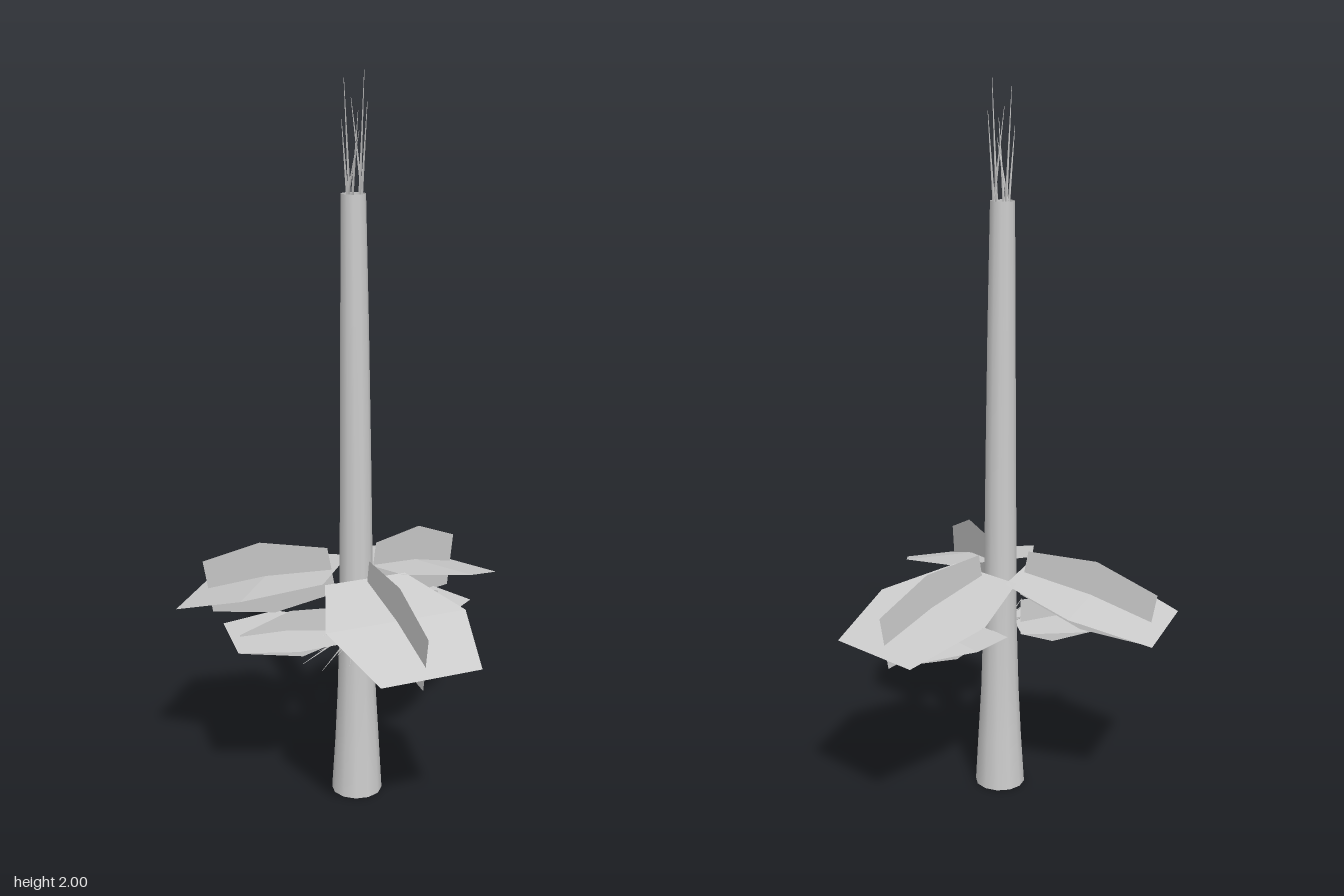
import * as THREE from 'three';

const grey = new THREE.MeshStandardMaterial({ color: 0xcccccc, side: THREE.DoubleSide });
grey.name = 'plain grey';

const AXIS = [0.01, 0.05]; // x, z of the stem where the leaves grow

function addMesh(parent, name, geometry) {
  const mesh = new THREE.Mesh(geometry, grey);
  mesh.name = name;
  parent.add(mesh);
  return mesh;
}

// Flat-shaded strip joining three left/right pairs of points
function strip(pairs) {
  const position = [];
  for (let i = 0; i < pairs.length - 1; i++) {
    const [a, b] = pairs[i], [c, d] = pairs[i + 1];
    for (const p of [a, b, c, b, d, c]) position.push(...p);
  }
  const geometry = new THREE.BufferGeometry();
  geometry.setAttribute('position', new THREE.Float32BufferAttribute(position, 3));
  geometry.computeVertexNormals();
  return geometry;
}

// Leaf made of a wide blade crossed by an upright blade, growing along +x
// blade rows: [reach, height, half width]; upright rows: [reach, top, reach, bottom]
function addLeaf(parent, name, degrees, blade, upright) {
  const leaf = new THREE.Group();
  leaf.name = name;
  addMesh(leaf, 'leafBlade', strip(blade.map(([r, y, w]) => [[r, y, w], [r, y, -w]])));
  addMesh(leaf, 'uprightBlade', strip(upright.map(([r, y, r2, y2]) => [[r, y, 0], [r2, y2, 0]])));
  leaf.position.set(AXIS[0], 0, AXIS[1]);
  leaf.rotation.y = -THREE.MathUtils.degToRad(degrees);
  parent.add(leaf);
}

// Thin three-sided spike from one point to another
function addSpike(parent, name, from, to, radius) {
  const a = new THREE.Vector3(...from), b = new THREE.Vector3(...to);
  const dir = b.clone().sub(a);
  const geometry = new THREE.CylinderGeometry(radius * 0.15, radius, dir.length(), 3, 1, true);
  const spike = addMesh(parent, name, geometry);
  spike.position.copy(a).lerp(b, 0.5);
  spike.quaternion.setFromUnitVectors(new THREE.Vector3(0, 1, 0), dir.normalize());
}

export function createModel() {
  const model = new THREE.Group();
  model.name = 'plant';

  // Hollow, slightly leaning stem; rows: height, radius, centre x, centre z
  const rows = [
    [0, 0.071, 0.011, 0.053], [0.15, 0.062, 0.01, 0.05], [0.3, 0.054, 0.008, 0.048],
    [0.5, 0.048, 0.006, 0.045], [0.65, 0.046, 0.004, 0.044], [1.0, 0.042, -0.001, 0.038],
    [1.35, 0.038, -0.008, 0.031], [1.69, 0.033, -0.015, 0.025],
  ];
  const stem = new THREE.LatheGeometry(rows.map(([y, r]) => new THREE.Vector2(r, y)), 12);
  const pos = stem.attributes.position;
  for (let i = 0; i < pos.count; i++) {
    const [, , cx, cz] = rows[i % rows.length];
    pos.setX(i, pos.getX(i) + cx);
    pos.setZ(i, pos.getZ(i) + cz);
  }
  addMesh(model, 'stem', stem);

  // Three large drooping leaves
  for (const angle of [35, 164.5, 277]) {
    addLeaf(model, 'largeLeaf', angle,
      [[0.06, 0.66, 0.118], [0.268, 0.617, 0.2], [0.483, 0.547, 0.14]],
      [[0.085, 0.72, 0.06, 0.59], [0.285, 0.715, 0.24, 0.51], [0.458, 0.64, 0.43, 0.49]]);
  }

  // Two smaller level leaves below
  for (const angle of [132, 284]) {
    addLeaf(model, 'smallLeaf', angle,
      [[0.045, 0.49, 0.087], [0.2, 0.508, 0.148], [0.357, 0.505, 0.104]],
      [[0.06, 0.56, 0.06, 0.455], [0.19, 0.565, 0.155, 0.425], [0.332, 0.51, 0.332, 0.455]]);
  }

  // Fan of fine twigs on the side without a small leaf
  for (let i = 0; i < 12; i++) {
    const angle = THREE.MathUtils.degToRad(25 + i * 8);
    const reach = 0.13 + 0.035 * ((i * 5) % 4);
    const c = Math.cos(angle), s = Math.sin(angle);
    addSpike(model, 'twig',
      [AXIS[0] + 0.035 * c, 0.475 + 0.01 * (i % 3), AXIS[1] + 0.035 * s],
      [AXIS[0] + reach * c, 0.445 + 0.017 * ((i * 3) % 5), AXIS[1] + reach * s], 0.004);
  }

  // Fine shoots at the top; each is start x, z and tip x, y, z
  const shoots = [
    [-0.03, 0.02, -0.04, 1.98, 0.03], [0.005, 0.03, 0.015, 2.0, 0.02],
    [-0.02, 0.045, -0.022, 1.88, 0.07], [-0.005, 0.005, 0.002, 1.92, -0.016],
    [-0.035, 0.03, 0.006, 1.85, 0.03], [0.008, 0.015, -0.03, 1.93, 0.012],
    [-0.015, 0.035, 0.012, 1.9, 0.045],
  ];
  for (const [x, z, tx, ty, tz] of shoots) addSpike(model, 'shoot', [x, 1.66, z], [tx, ty, tz], 0.005);

  return model;
}
